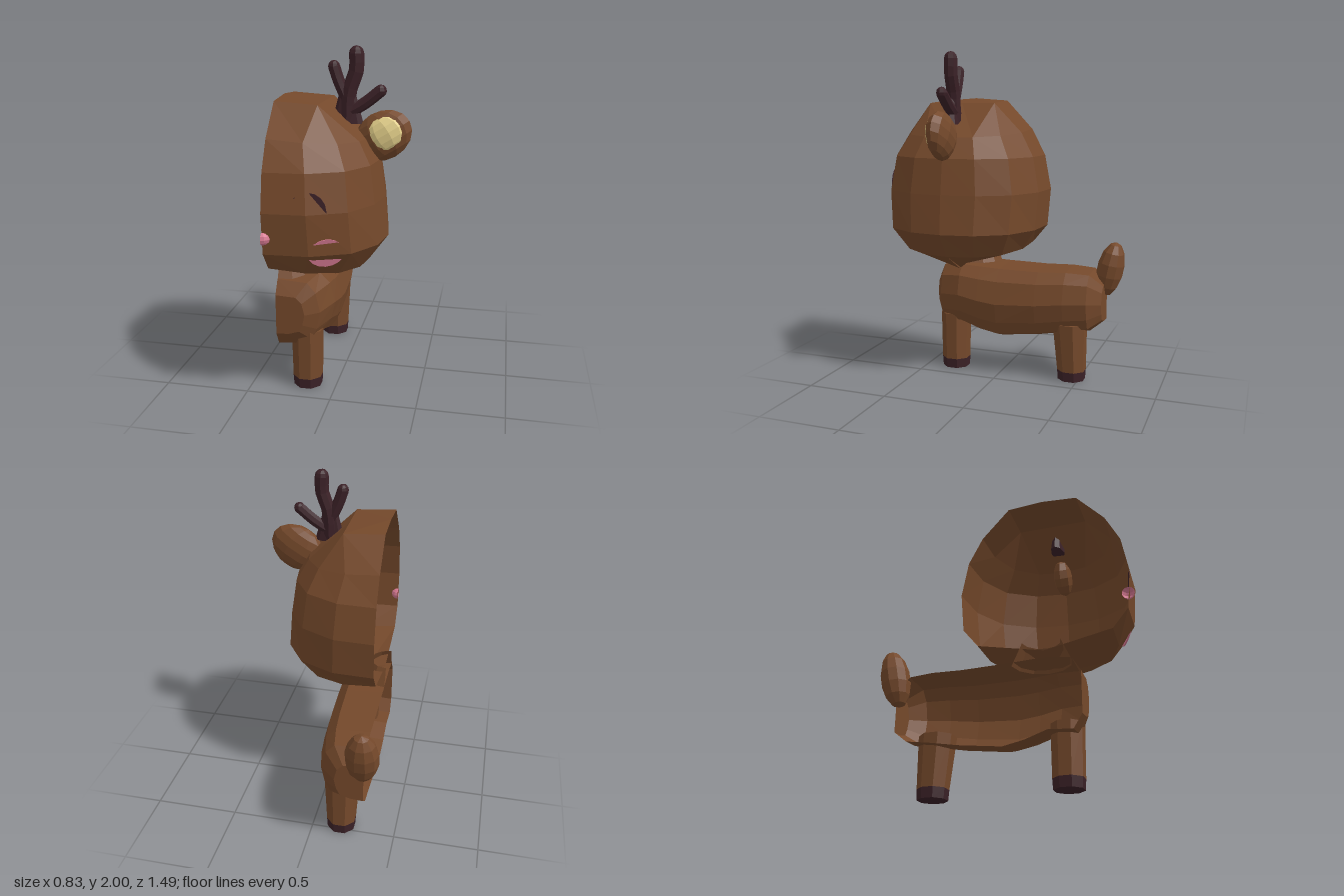
import * as THREE from 'three';

const mat = (name, color) =>
  new THREE.MeshStandardMaterial({ name, color, flatShading: true, side: THREE.DoubleSide });

// Joins rings of equal point count into a faceted skin
function loft(rings) {
  const n = rings[0].length, pos = [];
  for (let r = 0; r < rings.length - 1; r++) {
    for (let i = 0; i < n - 1; i++) {
      const a = rings[r][i], b = rings[r][i + 1], c = rings[r + 1][i], d = rings[r + 1][i + 1];
      pos.push(...a, ...b, ...c, ...b, ...d, ...c);
    }
  }
  const g = new THREE.BufferGeometry();
  g.setAttribute('position', new THREE.Float32BufferAttribute(pos, 3));
  g.computeVertexNormals();
  return g;
}

export function createModel() {
  const fur = mat('brown fur', 0x75492b);
  const dark = mat('dark horn', 0x3b2127);
  const pink = mat('pink', 0xd57891);
  const cream = mat('cream', 0xe4d08a);

  const model = new THREE.Group();
  model.name = 'halfDeer';
  const add = (name, geo, material, p = [0, 0, 0], parent = model) => {
    const m = new THREE.Mesh(geo, material);
    m.name = name;
    m.position.set(...p);
    parent.add(m);
    return m;
  };
  const ball = (rx, ry, rz, w = 10, h = 7) => new THREE.SphereGeometry(1, w, h).scale(rx, ry, rz);

  // Head: open half shell, rings from top to bottom
  const HX = -0.31, HZ = 0.23;
  const plan = [[0, -1], [0.41, -0.98], [0.76, -0.78], [0.95, -0.41], [1, 0],
    [0.95, 0.41], [0.76, 0.78], [0.41, 0.98], [0, 1]];
  const topPlan = [[0, -1], [1, -1], [1, -1], [1, -1], [1, 0], [1, 1], [1, 1], [1, 1], [0, 1]];
  const headRing = (y, sx, sz, drop = 0, shape = plan) =>
    shape.map(([x, z]) => [HX + x * sx, y - drop * x, HZ + z * sz]);
  add('head', loft([
    headRing(1.73, 0, 0),
    headRing(1.715, 0.24, 0.21, 0.015, topPlan),
    headRing(1.54, 0.48, 0.375, 0.04),
    headRing(1.38, 0.55, 0.46),
    headRing(1.17, 0.58, 0.5),
    headRing(0.94, 0.6, 0.48),
    headRing(0.83, 0.49, 0.39, 0.04),
    headRing(0.75, 0.29, 0, 0.07),
  ]), fur);

  // Body: open half shell, sections from back to front [z, width, bottom, top]
  const BX = -0.33;
  const side = [[0, 0], [0.45, 0.02], [0.8, 0.1], [0.92, 0.27], [1, 0.53], [0.9, 0.82], [0.7, 0.97], [0, 1]];
  const sections = [
    [-0.635, 0, 0.47, 0.47], [-0.635, 0.17, 0.36, 0.6], [-0.56, 0.26, 0.3, 0.68],
    [-0.42, 0.29, 0.28, 0.69], [-0.25, 0.31, 0.25, 0.685], [0, 0.32, 0.22, 0.69],
    [0.12, 0.32, 0.245, 0.695], [0.25, 0.31, 0.29, 0.7], [0.39, 0.25, 0.28, 0.68],
    [0.44, 0.17, 0.36, 0.6], [0.44, 0, 0.47, 0.47],
  ];
  add('body', loft(sections.map(([z, w, y0, y1]) =>
    side.map(([u, v]) => [BX + u * w, y0 + v * (y1 - y0), z]))), fur);

  // Neck: half stub under the head
  add('neck', new THREE.CylinderGeometry(0.11, 0.17, 0.13, 6, 1, true, 0, Math.PI), fur, [BX, 0.735, 0.22]);

  // Legs and hooves
  for (const [name, z, topR, topZ] of [['frontLeg', 0.32, 0.095, 0], ['hindLeg', -0.455, 0.108, 0.015]]) {
    const leg = new THREE.Group();
    leg.name = name;
    leg.position.set(-0.172, 0, z);
    model.add(leg);
    const shaft = new THREE.CylinderGeometry(topR, 0.09, 0.3, 8).rotateY(Math.PI / 8);
    const p = shaft.attributes.position;
    for (let i = 0; i < p.count; i++) if (p.getY(i) > 0) p.setZ(i, p.getZ(i) + topZ);
    add(name + 'Shaft', shaft, fur, [0, 0.21, 0], leg);
    add(name + 'Hoof', new THREE.CylinderGeometry(0.09, 0.086, 0.06, 8).rotateY(Math.PI / 8), dark, [0, 0.03, 0], leg);
  }

  // Tail: upright egg leaning back
  add('tail', ball(0.098, 0.175, 0.083), fur, [-0.322, 0.68, -0.655]).rotation.x = -0.2;

  // Ear: flat leaf with a cream inner face
  const ear = new THREE.Group();
  ear.name = 'ear';
  ear.position.set(0.25, 1.51, 0.225);
  ear.rotation.z = 0.55;
  model.add(ear);
  const leaf = ball(0.17, 0.135, 0.073, 10, 8);
  add('earShell', leaf, fur, [0, 0, 0], ear);
  add('innerEar', ball(0.118, 0.1, 0.05, 10, 8), cream, [0.015, 0.005, 0.03], ear);

  // Antler: curved stem with two prongs, each with a rounded tip
  const antler = new THREE.Group();
  antler.name = 'antler';
  model.add(antler);
  const prong = (name, pts, r) => {
    const path = new THREE.CatmullRomCurve3(pts.map(([x, y]) => new THREE.Vector3(x, y, 0.23)));
    add(name, new THREE.TubeGeometry(path, 8, r, 8), dark, [0, 0, 0], antler);
    add(name + 'Tip', ball(r, r, r, 8, 6), dark, path.getPoint(1).toArray(), antler);
  };
  prong('stem', [[0.05, 1.58], [0.06, 1.75], [0.1, 1.87], [0.1, 1.957]], 0.042);
  prong('innerProng', [[0.05, 1.7], [0.0, 1.81], [-0.025, 1.885]], 0.034);
  prong('outerProng', [[0.05, 1.63], [0.15, 1.69], [0.235, 1.758]], 0.034);
  add('antlerBase', new THREE.CylinderGeometry(0.045, 0.09, 0.17, 8).scale(1, 1, 0.45), dark, [0.05, 1.66, 0.23], antler);

  // Face: eye and cheek discs mostly sunk behind the shell, and half a nose
  const disc = (name, rx, ry, material, p, pitch, yaw) => {
    const g = new THREE.CylinderGeometry(1, 1, 0.008, 16).rotateX(Math.PI / 2).scale(rx, ry, 1);
    add(name, g, material, p).rotation.set(pitch, yaw, 0, 'YXZ');
  };
  disc('eye', 0.1, 0.105, dark, [-0.07, 1.18, 0.688], 0, 0.22);
  disc('cheek', 0.1, 0.085, pink, [0.02, 0.95, 0.646], 0.25, 0.44);
  add('nose', new THREE.SphereGeometry(0.04, 6, 6, Math.PI / 2, Math.PI).scale(1.1, 0.9, 0.9), pink, [HX, 1.03, 0.715]);

  return model;
}
